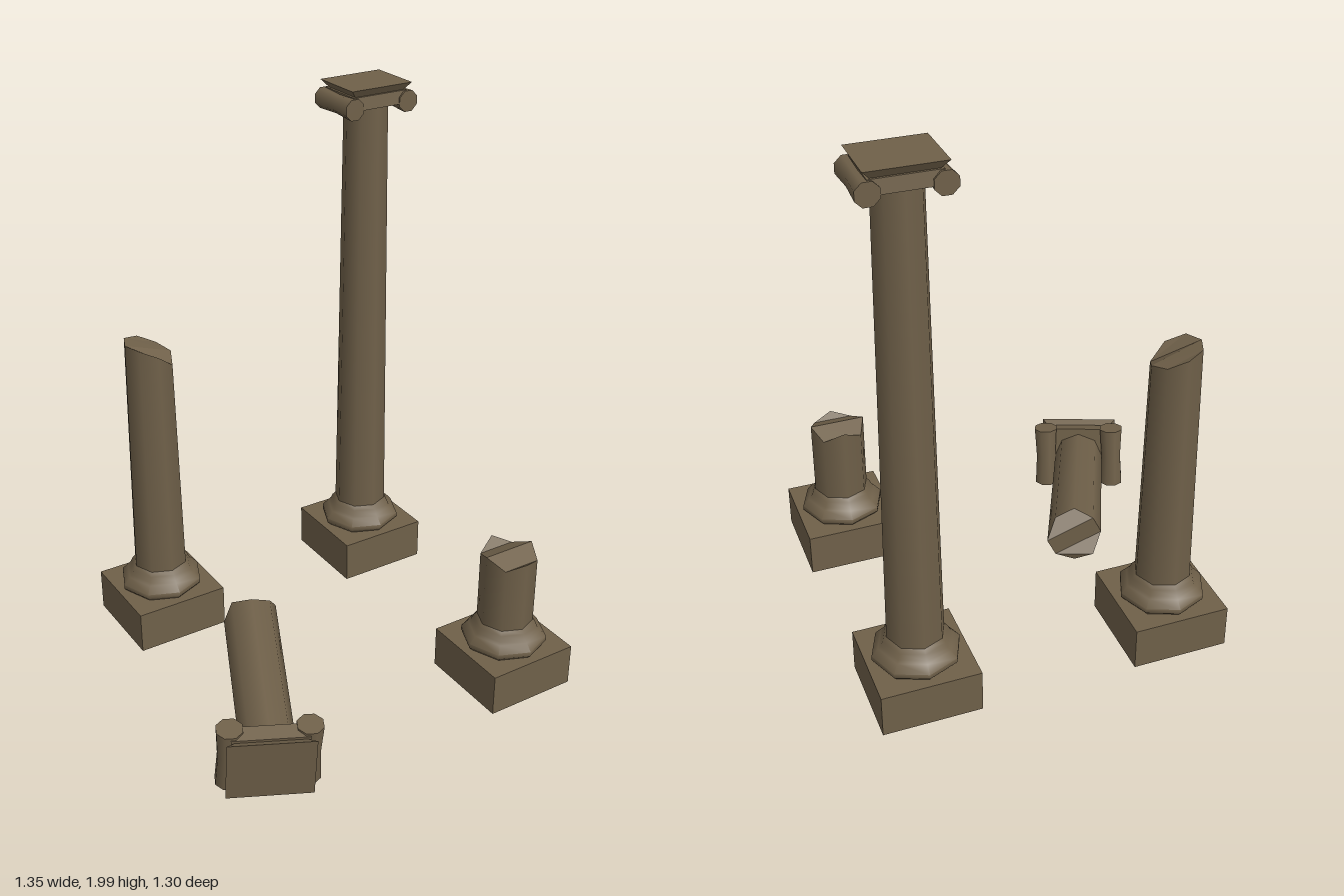
import * as THREE from 'three';
import { toCreasedNormals } from 'three/addons/utils/BufferGeometryUtils.js';

const stone = new THREE.MeshStandardMaterial({ color: 0x6f6049 });
stone.name = 'weathered stone';

function add(parent, name, geometry, x = 0, y = 0, z = 0) {
  const mesh = new THREE.Mesh(geometry, stone);
  mesh.name = name;
  mesh.position.set(x, y, z);
  parent.add(mesh);
  return mesh;
}

// Square plinth with an eight-sided moulding; y = 0 is the underside
function addBase(parent) {
  add(parent, 'plinth', new THREE.BoxGeometry(0.345, 0.156, 0.345), 0, 0.078, 0);
  const profile = [[0.138, 0], [0.153, 0.016], [0.153, 0.032], [0.13, 0.058],
    [0.12, 0.066], [0.112, 0.085], [0.099, 0.1]].map(([r, y]) => new THREE.Vector2(r, y));
  add(parent, 'baseMoulding', toCreasedNormals(new THREE.LatheGeometry(profile, 8), 0.85), 0, 0.154, 0);
}

// Eight-sided shaft; each end is one height or eight, counted from +x towards +z
function addShaft(parent, rBottom, rTop, bottom, top) {
  const at = (end, k) => (Array.isArray(end) ? end[k] : end);
  const geo = new THREE.CylinderGeometry(rTop, rBottom, 1, 8, 1, true);
  const p = geo.attributes.position;
  for (let i = 0; i < p.count; i++) {
    const k = (Math.round(Math.atan2(p.getZ(i), p.getX(i)) / (Math.PI / 4)) + 8) % 8;
    p.setY(i, at(p.getY(i) > 0 ? top : bottom, k));
  }
  add(parent, 'shaft', geo);
  if (Array.isArray(top)) addBreak(parent, rTop, top, false);
  if (Array.isArray(bottom)) addBreak(parent, rBottom, bottom, true);
}

// Jagged broken face closing a shaft
function addBreak(parent, r, heights, facesDown) {
  const order = [3, 2, 1, 4, 3, 1, 4, 1, 0, 0, 7, 5, 5, 4, 0, 7, 6, 5];
  if (facesDown) order.reverse();
  const pts = order.map((k) => new THREE.Vector3(
    r * Math.cos(k * Math.PI / 4), heights[k], r * Math.sin(k * Math.PI / 4)));
  const geo = new THREE.BufferGeometry().setFromPoints(pts);
  geo.computeVertexNormals();
  add(parent, 'brokenFace', geo);
}

// Box whose underside is scaled in x and z
function taperedBox(w, h, d, sx, sz) {
  const geo = new THREE.BoxGeometry(w, h, d);
  const p = geo.attributes.position;
  for (let i = 0; i < p.count; i++) {
    if (p.getY(i) < 0) p.setXYZ(i, p.getX(i) * sx, p.getY(i), p.getZ(i) * sz);
  }
  geo.computeVertexNormals();
  return geo;
}

// Scrolled capital; y = 0 is its top face
function addCapital(parent) {
  const capital = new THREE.Group();
  capital.name = 'capital';
  add(capital, 'abacus', taperedBox(0.25, 0.028, 0.206, 0.8, 0.82), 0, -0.014, 0);
  add(capital, 'scrollBand', taperedBox(0.22, 0.046, 0.186, 1, 1.07), 0, -0.05, 0);
  for (const side of [-1, 1]) {
    // Scroll roll, pinched towards the middle
    const geo = new THREE.CylinderGeometry(0.04, 0.04, 0.204, 8, 4);
    const p = geo.attributes.position;
    for (let i = 0; i < p.count; i++) {
      const s = 0.86 + 0.14 * Math.abs(p.getY(i)) / 0.102;
      p.setXYZ(i, p.getX(i) * s, p.getY(i), p.getZ(i) * s);
    }
    geo.rotateY(Math.PI / 8);
    geo.rotateX(Math.PI / 2);
    add(capital, side > 0 ? 'leftScroll' : 'rightScroll', geo, side * 0.112, -0.066, 0);
  }
  parent.add(capital);
  return capital;
}

export function createModel() {
  const model = new THREE.Group();
  model.name = 'ruinedColumns';
  const group = (name, x, y, z) => {
    const g = new THREE.Group();
    g.name = name;
    g.position.set(x, y, z);
    model.add(g);
    return g;
  };

  // Complete column
  const tall = group('tallColumn', 0.502, 0.06, -0.483);
  addBase(tall);
  addShaft(tall, 0.1, 0.08, 0.23, 1.89);
  addCapital(tall).position.y = 1.94;

  // Column broken at mid height
  const half = group('halfColumn', -0.398, 0.063, -0.483);
  addBase(half);
  addShaft(half, 0.1, 0.087, 0.23, [1.155, 1.13, 1.18, 1.21, 1.215, 1.215, 1.2, 1.17].map((h) => h - 0.063));

  // Short stump
  const stump = group('stump', 0.502, 0.025, 0.456);
  addBase(stump);
  addShaft(stump, 0.1, 0.1, 0.23, [0.558, 0.527, 0.547, 0.527, 0.558, 0.527, 0.563, 0.527].map((h) => h - 0.025));

  // Fallen upper piece, lying on its capital
  const fallen = group('fallenColumn', -0.539, 0.131, 0.572);
  const scale = 1.18;
  addCapital(fallen);
  addShaft(fallen, 0.083, 0.08, [0.785, 0.76, 0.745, 0.757, 0.71, 0.735, 0.715, 0.735].map((h) => -h / scale), -0.05);
  const yAxis = new THREE.Vector3(-0.413, -0.13, 0.901).normalize();
  const zAxis = new THREE.Vector3(0.909, -0.035, 0.417).cross(yAxis).normalize();
  const xAxis = new THREE.Vector3().crossVectors(yAxis, zAxis);
  fallen.quaternion.setFromRotationMatrix(new THREE.Matrix4().makeBasis(xAxis, yAxis, zAxis));
  fallen.scale.setScalar(scale);

  return model;
}
